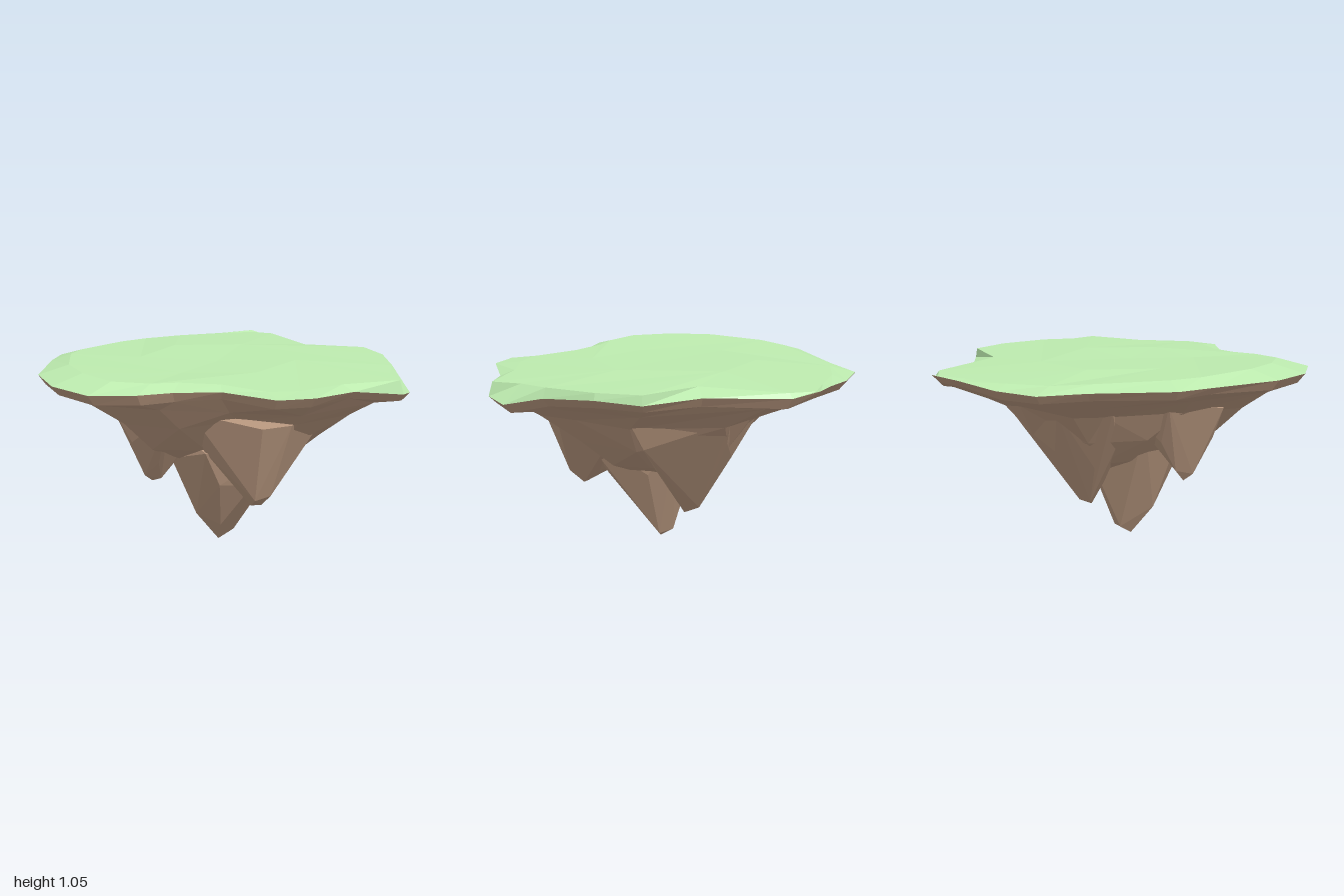
import * as THREE from 'three';
import { ConvexGeometry } from 'three/addons/geometries/ConvexGeometry.js';

const grassMat = new THREE.MeshStandardMaterial({ color: 0xbceaae, flatShading: true });
const rockMat = new THREE.MeshStandardMaterial({ color: 0xb4947c, flatShading: true });

// Small seeded noise in -1..1
let seed = 7;
const noise = () => {
  seed = (seed * 16807) % 2147483647;
  return (seed / 2147483647) * 2 - 1;
};

// Shore line, clockwise from the back: x, z, height of the turf's lower edge, inset of the turf's top edge
const SHORE = [
  [-0.15, -1.0, 0.98, 0.14], [0.12, -0.99, 0.98, 0.08], [0.4, -0.95, 1.0, 0.05], [0.6, -0.93, 1.01, 0.03],
  [0.69, -0.8, 0.98, 0.02], [0.79, -0.36, 0.98, 0.14], [0.99, -0.1, 0.965, 0.01], [0.99, 0.15, 0.98, 0.01],
  [0.91, 0.45, 0.96, 0.02], [0.88, 0.68, 0.91, 0.1], [0.78, 0.8, 0.93, 0.02], [0.46, 0.86, 0.98, 0.08],
  [0.18, 1.0, 0.995, 0.14], [-0.02, 0.98, 0.995, 0.14], [-0.22, 0.72, 1.0, 0.1], [-0.46, 0.65, 1.0, 0.14],
  [-0.65, 0.65, 1.0, 0.16], [-0.88, 0.55, 0.995, 0.17], [-1.0, 0.28, 1.0, 0.18], [-1.0, -0.02, 1.005, 0.17],
  [-0.83, -0.4, 1.005, 0.12], [-0.73, -0.58, 1.0, 0.14], [-0.35, -0.83, 0.99, 0.1],
];
const COUNT = SHORE.length;

// Skin a stack of rings; rings may have fewer points than the shore, and a ring of one closes the end
function loft(rings) {
  const start = [];
  const points = [];
  rings.forEach((ring) => {
    start.push(points.length);
    points.push(...ring);
  });
  const at = (i, j) => start[i] + Math.floor(((j % COUNT) * rings[i].length) / COUNT);
  const index = [];
  for (let i = 0; i < rings.length - 1; i++) {
    for (let j = 0; j < COUNT; j++) {
      const a = at(i, j), b = at(i, j + 1), c = at(i + 1, j), d = at(i + 1, j + 1);
      if (c !== d) index.push(a, d, c);
      if (a !== b) index.push(a, b, d);
    }
  }
  const geo = new THREE.BufferGeometry().setFromPoints(points);
  geo.setIndex(index);
  const flat = geo.toNonIndexed();
  flat.computeVertexNormals();
  return flat;
}

// Every n-th shore point, scaled about a shifted centre and roughened
const shrink = (n, sx, cx, sz, cz, y, rough) => SHORE.filter((p, i) => i % n === 0).map(([x, z]) =>
  new THREE.Vector3(x * sx + cx + noise() * rough, y + noise() * rough, z * sz + cz + noise() * rough));

const turfTop = (x, z) => 1.035 - 0.016 * x - 0.025 * z * z;

// Rocky spikes, each the hull of a few points (x, y, z)
const SPIKES = {
  centreSpike: [
    [0, 0, 0.08], [0.1, 0.04, 0.06], [0.02, 0.05, 0], [-0.14, 0.17, 0.1], [-0.03, 0.12, 0.2], [0.15, 0.2, 0.1],
    [0.02, 0.28, -0.03], [-0.28, 0.5, 0.08], [-0.1, 0.4, 0.37], [0.1, 0.38, 0.36], [0.26, 0.42, 0.08],
    [-0.2, 0.6, 0.42], [0.32, 0.65, 0.45], [0.3, 0.7, -0.1], [-0.25, 0.7, -0.15],
  ],
  backSpike: [
    [0.15, 0.19, -0.1], [0.11, 0.22, -0.17], [0.17, 0.23, -0.19], [0.1, 0.32, -0.04], [0.38, 0.42, -0.08],
    [0.62, 0.65, 0], [0.71, 0.81, 0.05], [0.0, 0.45, -0.28], [0.2, 0.54, -0.38], [-0.14, 0.6, -0.26],
    [0.4, 0.66, -0.4], [0.08, 0.8, -0.52], [0.5, 0.8, -0.44], [-0.22, 0.81, -0.42], [0.5, 0.84, 0.2],
    [-0.2, 0.84, -0.1],
  ],
  leftSpike: [
    [-0.38, 0.37, 0.04], [-0.43, 0.41, 0.06], [-0.34, 0.39, 0.08], [-0.38, 0.44, -0.04], [-0.27, 0.5, 0.04],
    [-0.38, 0.5, 0.16], [-0.52, 0.62, 0.12], [-0.36, 0.62, -0.16], [-0.2, 0.62, 0.2],
    [-0.61, 0.8, 0.08], [-0.4, 0.84, 0.42], [-0.46, 0.84, -0.24], [-0.12, 0.84, 0.34], [-0.1, 0.84, -0.2],
  ],
  frontSpike: [
    [0.03, 0.31, 0.5], [0.09, 0.31, 0.51], [0.02, 0.36, 0.59], [0.11, 0.38, 0.59], [0.03, 0.38, 0.38],
    [0.14, 0.4, 0.4], [-0.07, 0.48, 0.46], [-0.2, 0.61, 0.4], [0.04, 0.6, 0.66], [0.14, 0.64, 0.64],
    [0.3, 0.55, 0.34], [0.0, 0.79, 0.74], [0.16, 0.8, 0.75], [0.48, 0.84, 0.55], [-0.3, 0.84, 0.46],
    [0.5, 0.7, 0.2], [0.1, 0.8, 0.1],
  ],
};

export function createModel() {
  const group = new THREE.Group();
  const add = (name, geo, mat) => {
    const mesh = new THREE.Mesh(geo, mat);
    mesh.name = name;
    group.add(mesh);
  };

  // Turf: gently uneven top that rolls over the shore
  const edge = SHORE.map(([x, z, y]) => new THREE.Vector3(x, y, z));
  const lip = SHORE.map(([x, z, , inset]) => {
    const k = 1 - inset;
    return new THREE.Vector3(x * k, turfTop(x, z), z * k);
  });
  const field = shrink(4, 0.45, 0, 0.45, 0, 1.03, 0.008);
  add('grassTop', loft([[new THREE.Vector3(0, 1.025, 0.05)], field, lip, edge]), grassMat);

  // Rock: thin rim, wide sloping underside and a blunt core
  const rim = SHORE.map(([x, z, y]) => new THREE.Vector3(x * 0.96, y - 0.05 + noise() * 0.012, z * 0.96));
  add('rockUnderside', loft([
    edge,
    rim,
    shrink(2, 0.82, 0.03, 0.82, 0.03, 0.88, 0.022),
    shrink(2, 0.65, 0.055, 0.64, 0.1, 0.79, 0.02),
    shrink(3, 0.5, 0.06, 0.48, 0.08, 0.62, 0.025),
    shrink(3, 0.28, 0.09, 0.28, 0.05, 0.47, 0.02),
    [new THREE.Vector3(0.08, 0.36, 0.05)],
  ]), rockMat);

  for (const [name, pts] of Object.entries(SPIKES)) {
    add(name, new ConvexGeometry(pts.map((p) => new THREE.Vector3(...p))), rockMat);
  }
  return group;
}
